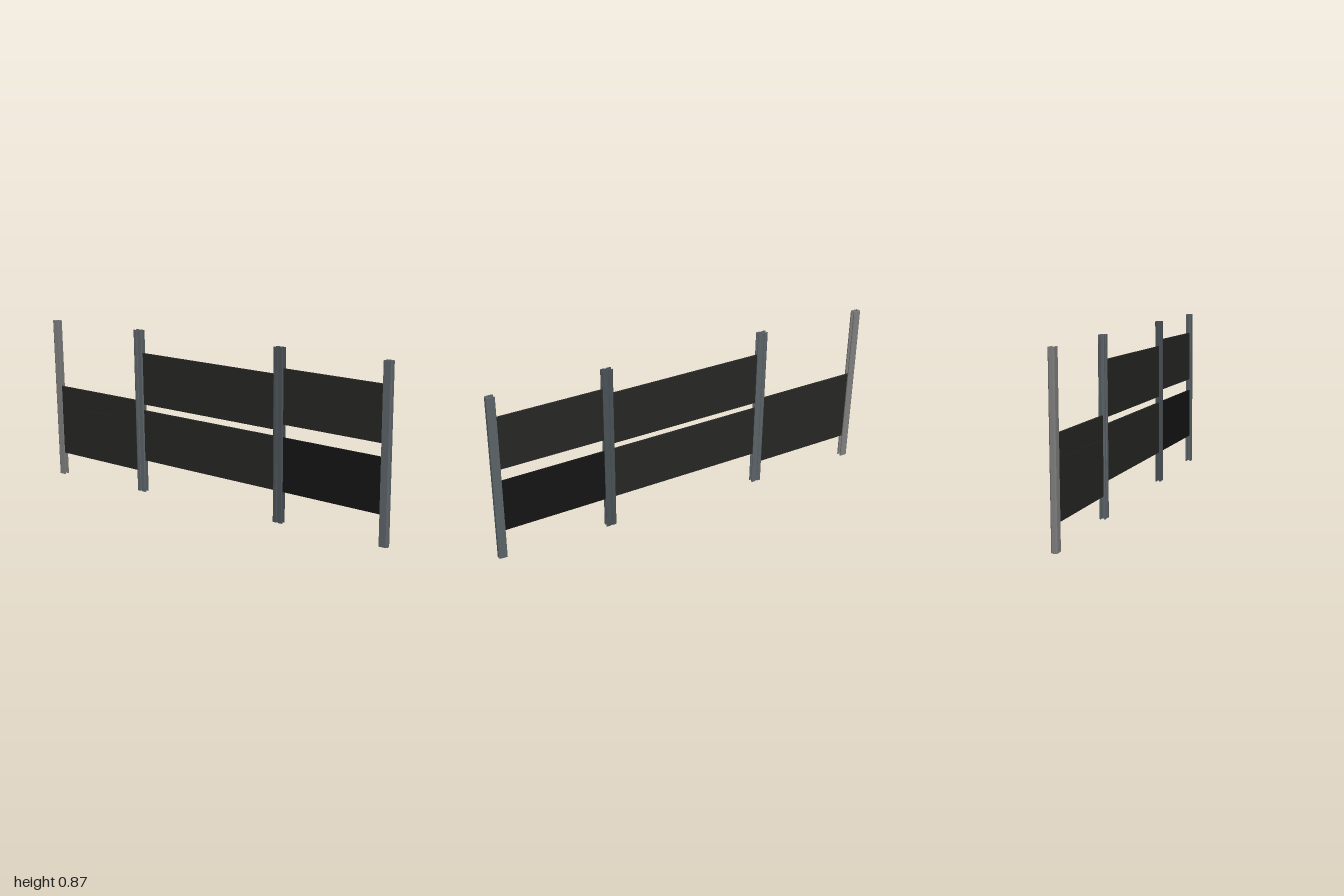
import * as THREE from 'three';

// Half outlines as [x, z]; cross-sections lie in the ground plane
const W = 0.0142; // half width of a post across the fence

// Channel section: closed, chamfered back at +z and a slot open towards -z
const channel = [
  [-W, -0.02], [-W, 0.014], [-W + 0.005, 0.02], [W - 0.005, 0.02], [W, 0.014], [W, -0.02],
  [0.0075, -0.02], [0.0075, 0.008], [-0.0075, 0.008], [-0.0075, -0.02],
];

// H section: a slot at each end and a shallow groove down each outer face
const quarter = [
  [0.0075, 0.004], [0.0075, 0.026], [W - 0.003, 0.026], [W, 0.022], [W, 0.006], [W - 0.004, 0.004],
];
const flip = (points, sx, sz) => points.map(([x, z]) => [x * sx, z * sz]);
const hSection = [
  ...quarter,
  ...flip(quarter, 1, -1).reverse(),
  ...flip(quarter, -1, -1),
  ...flip(quarter, -1, 1).reverse(),
];

function post(name, section, color, x, z, y0, y1, lean, turned = false) {
  const shape = new THREE.Shape(section.map(([px, pz]) => new THREE.Vector2(px, -pz)));
  const geometry = new THREE.ExtrudeGeometry(shape, { depth: y1 - y0, bevelEnabled: false });
  geometry.rotateX(-Math.PI / 2);
  if (turned) geometry.rotateY(Math.PI);
  const mesh = new THREE.Mesh(geometry, new THREE.MeshStandardMaterial({ color, flatShading: true }));
  mesh.name = name;
  mesh.position.set(x, y0, z);
  mesh.rotation.x = -lean; // top leans slightly to the back
  return mesh;
}

function board(name, color, z0, z1, y0, y1, x = 0, thickness = 0.011) {
  const mesh = new THREE.Mesh(
    new THREE.BoxGeometry(thickness, y1 - y0, z1 - z0),
    new THREE.MeshStandardMaterial({ color }),
  );
  mesh.name = name;
  mesh.position.set(x, (y0 + y1) / 2, (z0 + z1) / 2);
  return mesh;
}

export function createModel() {
  const group = new THREE.Group();
  group.name = 'fence';

  // Posts, each standing a little lower towards the back
  group.add(
    post('frontEndPost', channel, 0x5c6468, -0.003, 0.98, 0.036, 0.868, 0.017),
    post('frontMiddlePost', hSection, 0x4a5256, 0, 0.426, 0.026, 0.859, 0.014),
    post('backMiddlePost', hSection, 0x5c6468, 0, -0.403, 0.014, 0.846, 0.014),
    post('backEndPost', channel, 0x808080, 0.001, -0.964, 0, 0.835, 0.017, true),
  );

  // Boards held in the post slots
  const dark = 0x262624;
  group.add(
    board('frontUpperBoard', dark, 0.422, 0.97, 0.503, 0.763),
    board('frontLowerBoard', 0x141414, 0.426, 0.975, 0.18, 0.44),
    board('middleUpperBoard', dark, -0.41, 0.414, 0.472, 0.732),
    board('middleLowerBoard', dark, -0.405, 0.418, 0.18, 0.44),
    // The two back boards overlap, one just proud of the other on each side
    board('backUpperBoard', dark, -0.97, -0.414, 0.225, 0.485, 0.0015),
    board('backLowerBoard', dark, -0.968, -0.412, 0.12, 0.38, -0.0015),
  );
  return group;
}
